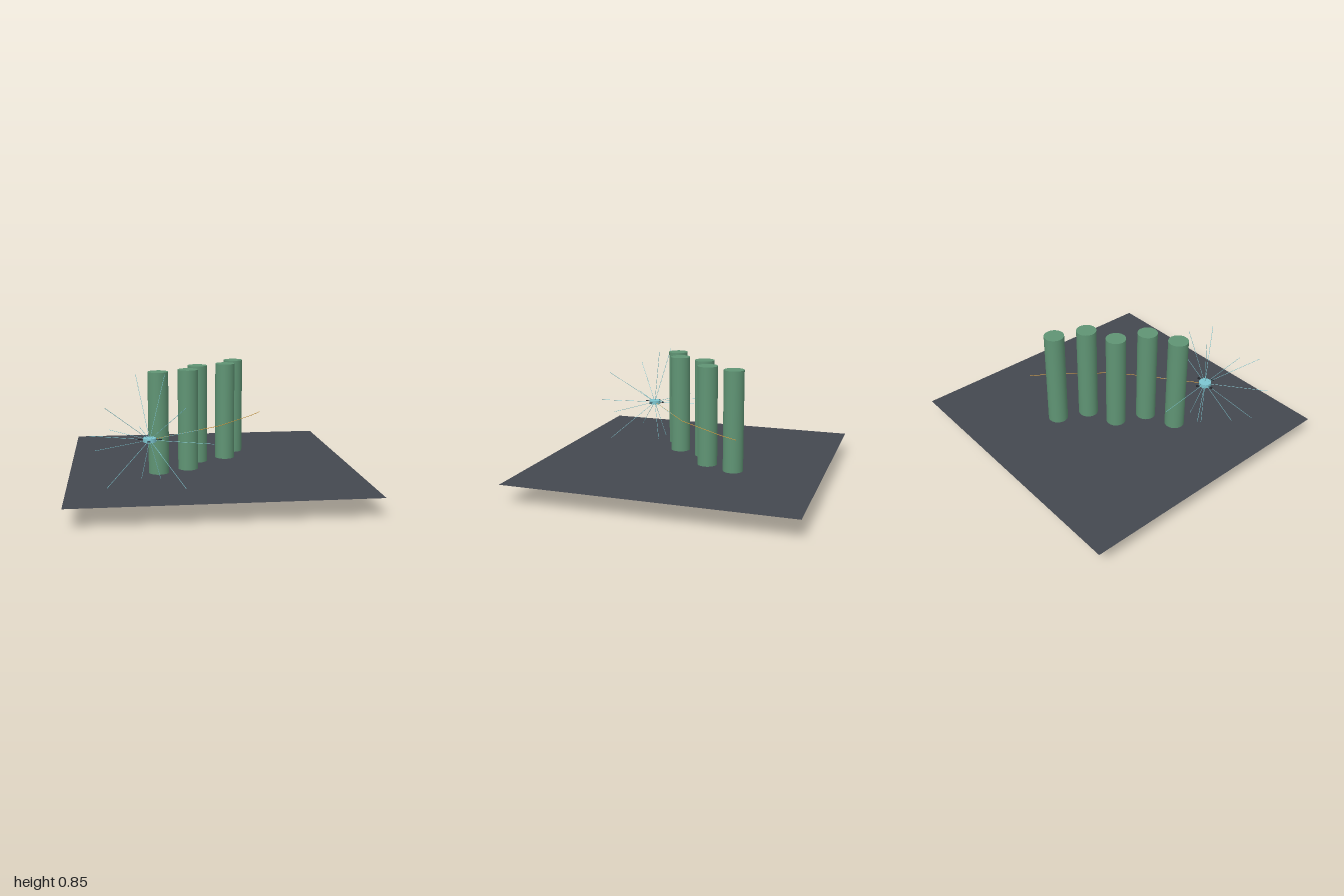
import * as THREE from 'three';

const mat = (name, color, extra = {}) => Object.assign(new THREE.MeshStandardMaterial({ color, ...extra }), { name });

export function createModel() {
  const floorMat = mat('slate floor', 0x444850, { side: THREE.DoubleSide });
  const green = mat('pillar green', 0x5f9474);
  const cyan = mat('pale cyan', 0x7cc6d0);
  const dark = mat('rotor dark', 0x23272c);
  const amber = mat('path amber', 0xd9a040);

  const model = new THREE.Group();
  model.name = 'droneArena';
  const add = (parent, name, geometry, material, x = 0, y = 0, z = 0) => {
    const mesh = new THREE.Mesh(geometry, material);
    mesh.name = name;
    mesh.position.set(x, y, z);
    parent.add(mesh);
    return mesh;
  };

  // thin rod joining two points
  const rod = (parent, name, a, b, radius, material) => {
    const dir = b.clone().sub(a);
    const mesh = add(parent, name, new THREE.CylinderGeometry(radius, radius, dir.length(), 6), material);
    mesh.position.copy(a).add(b).multiplyScalar(0.5);
    mesh.quaternion.setFromUnitVectors(new THREE.Vector3(0, 1, 0), dir.normalize());
  };

  // floor sheet
  const floorY = 0.142;
  add(model, 'floor', new THREE.PlaneGeometry(2, 2).rotateX(-Math.PI / 2), floorMat, 0, floorY, 0);

  // staggered pillars
  const pillarH = 0.71;
  const pillarGeo = new THREE.CylinderGeometry(0.071, 0.071, pillarH, 32);
  [[-0.38, 0.225], [-0.167, 0.135], [-0.079, -0.079], [0.135, -0.167], [0.225, -0.38]].forEach(([x, z]) =>
    add(model, 'pillar', pillarGeo, green, x, floorY + pillarH / 2, z));

  // drone: disc body, four arms and rotors
  const drone = new THREE.Group();
  drone.name = 'drone';
  drone.position.set(-0.45, 0.426, 0.45);
  model.add(drone);
  add(drone, 'body', new THREE.CylinderGeometry(0.044, 0.044, 0.027, 16), cyan, 0, 0.001, 0);
  for (let i = 0; i < 4; i++) {
    const a = THREE.MathUtils.degToRad(7.5 + i * 90);
    const tip = new THREE.Vector3(Math.cos(a) * 0.07, 0.003, Math.sin(a) * 0.07);
    rod(drone, 'arm', new THREE.Vector3(0, 0.003, 0), tip, 0.002, dark);
    add(drone, 'rotor', new THREE.CylinderGeometry(0.011, 0.011, 0.004, 12), dark, tip.x, tip.y, tip.z);
  }

  // sensor rays: one level ring of six, two upright rings of five
  const origin = new THREE.Vector3();
  const ray = (azimuth, elevation) => {
    const a = THREE.MathUtils.degToRad(azimuth), e = THREE.MathUtils.degToRad(elevation);
    const end = new THREE.Vector3(Math.cos(e) * Math.cos(a), Math.sin(e), Math.cos(e) * Math.sin(a));
    rod(drone, 'sensorRay', origin, end.multiplyScalar(0.446), 0.0015, cyan);
  };
  for (let i = 0; i < 6; i++) ray(22.5 + i * 60, 0);
  for (const azimuth of [52.5, 142.5])
    for (let i = 0; i < 5; i++) ray(azimuth, 36 + i * 72);

  // flight path past the pillars
  const path = [[-0.45, 0.45], [0.075, 0.042], [0.365, -0.325], [0.45, -0.457]]
    .map(([x, z]) => new THREE.Vector3(x, 0.426, z));
  for (let i = 1; i < path.length; i++) rod(model, 'flightPath', path[i - 1], path[i], 0.002, amber);

  return model;
}
